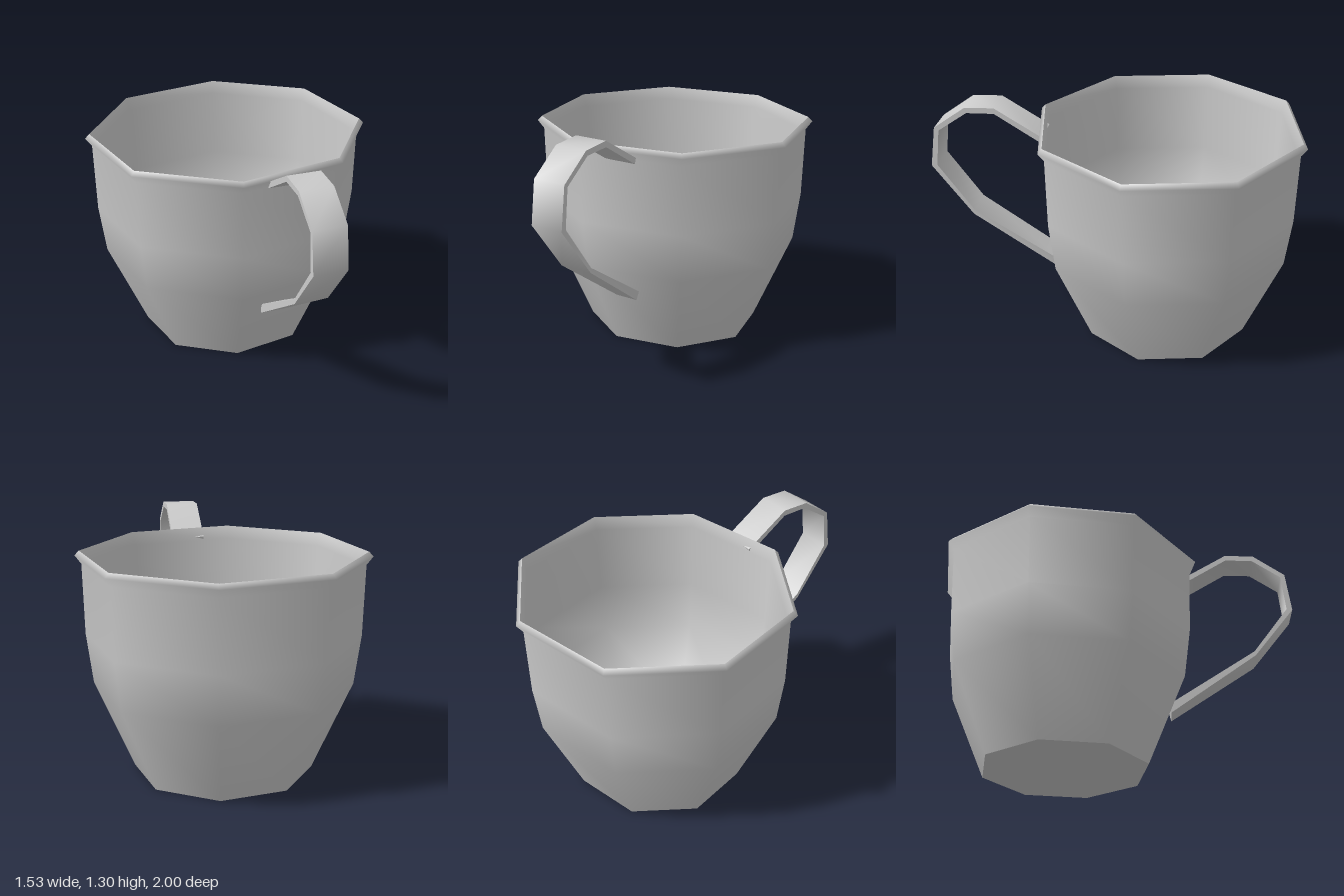
import * as THREE from 'three';
import { toCreasedNormals } from 'three/addons/utils/BufferGeometryUtils.js';

const SIDES = 8;
const START = -Math.PI / 16; // the octagon is turned by a quarter of a side

export function createModel() {
  const model = new THREE.Group();
  model.name = 'cup';
  const material = new THREE.MeshStandardMaterial({ color: 0xcccccc, side: THREE.DoubleSide });

  const add = (name, geometry, parent) => {
    const mesh = new THREE.Mesh(geometry, material);
    mesh.name = name;
    parent.add(mesh);
  };
  const vectors = (points) => points.map(([a, b]) => new THREE.Vector2(a, b));
  const lathe = (points) => new THREE.LatheGeometry(vectors(points), SIDES, START);

  // Eight-sided bowl, slightly flattened front to back
  const bowl = new THREE.Group();
  bowl.name = 'bowl';
  bowl.position.z = -0.272;
  bowl.scale.z = 0.953;
  model.add(bowl);

  add('outerWall', lathe([
    [0.484, 0], [0.698, 0.48], [0.734, 0.75], [0.744, 1.13], [0.779, 1.175], [0.755, 1.2],
  ]), bowl);
  add('innerWall', lathe([
    [0.755, 1.2], [0.73, 1.13], [0.715, 0.75], [0.678, 0.48], [0.47, 0.03], [0, 0.03],
  ]), bowl);
  add('base', lathe([[0, 0], [0.484, 0]]), bowl);

  // Handle: a bent strap given by its side outline as (z, y)
  const outer = [
    [0.38, 1.15], [0.636, 1.3], [0.797, 1.29], [0.97, 1.165],
    [1.0, 0.94], [0.78, 0.66], [0.305, 0.325],
  ];
  const inner = [
    [0.294, 0.374], [0.775, 0.685], [0.968, 0.945],
    [0.946, 1.15], [0.786, 1.262], [0.636, 1.268], [0.39, 1.12],
  ];
  const width = 0.18;
  const strap = new THREE.ExtrudeGeometry(new THREE.Shape(vectors([...outer, ...inner])), {
    depth: width, bevelEnabled: false,
  });
  strap.rotateY(-Math.PI / 2).translate(width, 0, 0);

  // The left edge tapers in toward the lower end
  const position = strap.attributes.position;
  for (let i = 0; i < position.count; i++) {
    const drop = Math.max(0, 0.66 - position.getY(i));
    if (position.getX(i) > width / 2) position.setX(i, width - drop * 0.15);
  }
  add('handle', toCreasedNormals(strap, 1.15), model);

  return model;
}
